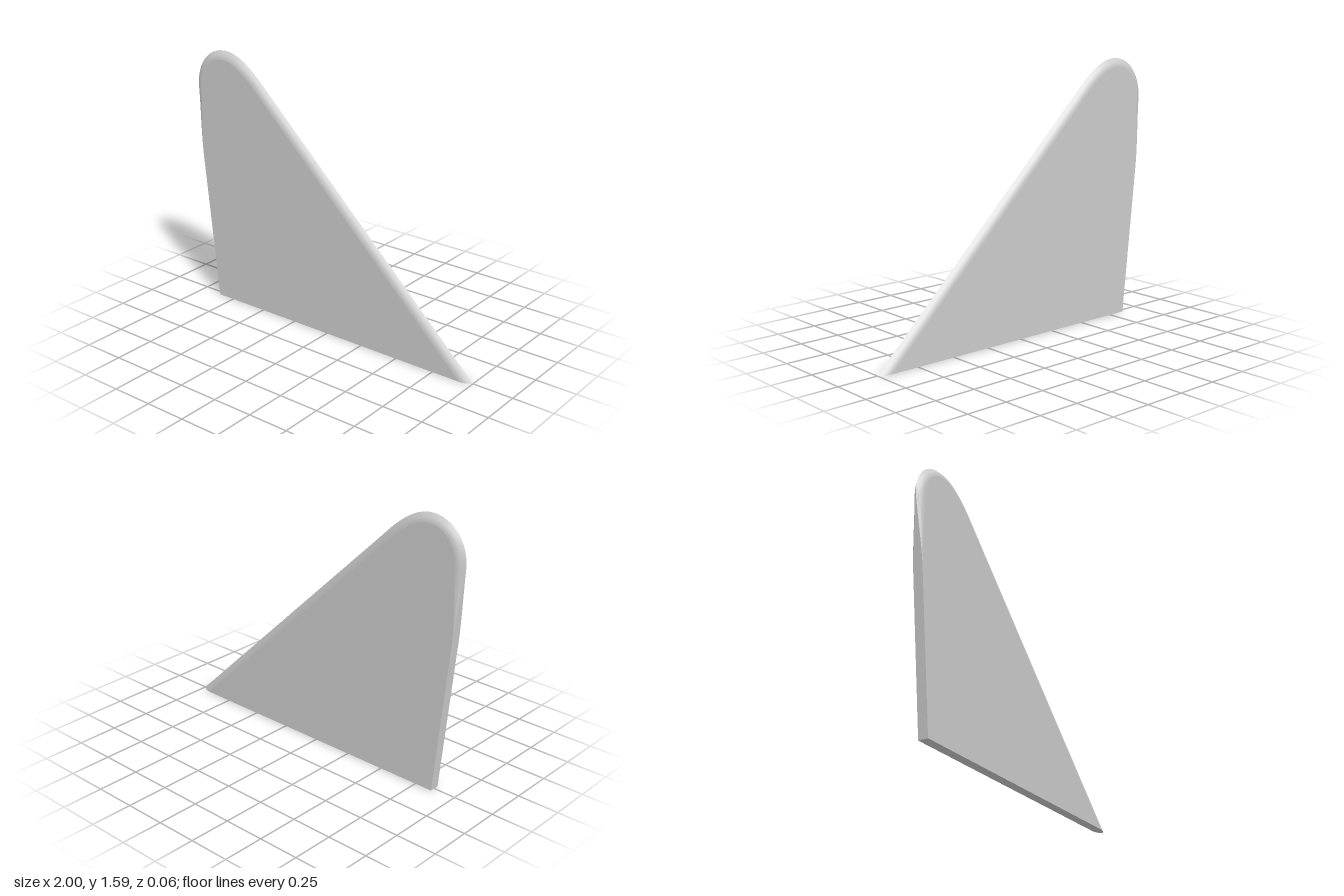
import * as THREE from 'three';
import { toCreasedNormals } from 'three/addons/utils/BufferGeometryUtils.js';

const T = 0.03;      // half thickness
const BEVEL = 0.05;  // width of the sharpened edge
// edge profile, from face to ridge: [share of inset, share of thickness]
const PROFILE = [[1, 1], [0.78, 0.95], [0.55, 0.8], [0.3, 0.52], [0, 0]];

// Outline from the rear foot, up the trailing edge, over the tip and down the leading edge
function outline() {
  const v = (x, y) => new THREE.Vector2(x, y);
  const trailing = new THREE.LineCurve(v(-0.86, 0), v(-1, 1.34));
  const tipRear = new THREE.CubicBezierCurve(v(-1, 1.34), v(-1.01, 1.48), v(-0.91, 1.59), v(-0.78, 1.59));
  const tipFront = new THREE.CubicBezierCurve(v(-0.78, 1.59), v(-0.66, 1.59), v(-0.55, 1.49), v(-0.45, 1.39));
  const leading = new THREE.LineCurve(v(-0.45, 1.39), v(1, 0));
  const rows = [];
  const add = (curve, ts) => ts.forEach((t) => rows.push({ p: curve.getPoint(t), t: curve.getTangent(t) }));
  const steps = (n) => Array.from({ length: n }, (_, i) => i / n);
  add(trailing, [0, ...steps(10).map((t) => 0.65 + 0.35 * t)]);
  add(tipRear, steps(20));
  add(tipFront, steps(16));
  add(leading, [0, 1]);
  return rows;
}

// One cross-section of the edge, front face to back face
function section({ p, t }) {
  const onRear = p.x < -0.78;
  const sharp = onRear ? THREE.MathUtils.smoothstep(p.y, 0.9, 1.42) : 1;
  const inward = new THREE.Vector2(t.y, -t.x);
  // at the foot the inset slides along the ground
  if (p.y < 1e-6) inward.set(1 / inward.x, 0);
  const flat = T * (1 - sharp);
  const half = PROFILE.map(([d, z]) => new THREE.Vector3(
    p.x + inward.x * d * BEVEL * sharp,
    p.y + inward.y * d * BEVEL * sharp,
    flat + (T - flat) * z));
  const mirrored = half.map((q) => new THREE.Vector3(q.x, q.y, -q.z)).reverse();
  return [...half, ...mirrored];
}

function edgeGeometry(rows) {
  const pos = [];
  const tri = (a, b, c) => {
    const area = b.clone().sub(a).cross(c.clone().sub(a)).length();
    if (area > 1e-10) for (const q of [a, b, c]) pos.push(q.x, q.y, q.z);
  };
  for (let i = 0; i < rows.length - 1; i++) {
    for (let j = 0; j < rows[i].length - 1; j++) {
      const a = rows[i][j], b = rows[i + 1][j], c = rows[i + 1][j + 1], d = rows[i][j + 1];
      tri(a, b, c);
      tri(a, c, d);
    }
  }
  const g = new THREE.BufferGeometry();
  g.setAttribute('position', new THREE.Float32BufferAttribute(pos, 3));
  return toCreasedNormals(g, 0.6);
}

export function createModel() {
  const group = new THREE.Group();
  group.name = 'fin';
  const material = new THREE.MeshStandardMaterial({ color: 0xcccccc });
  const add = (name, geometry) => {
    const mesh = new THREE.Mesh(geometry, material);
    mesh.name = name;
    group.add(mesh);
    return mesh;
  };
  const rows = outline().map(section);

  // Sharpened rim, blunt along the lower trailing edge
  add('edge', edgeGeometry(rows));

  // Flat sides
  const side = (s) => new THREE.ShapeGeometry(
    new THREE.Shape(rows.map((r) => new THREE.Vector2(r[0].x * s, r[0].y))));
  add('frontFace', side(1).translate(0, 0, T));
  add('backFace', side(-1).translate(0, 0, T).rotateY(Math.PI));

  // Flat foot: blunt at the rear, pointed at the front
  const tip = rows[rows.length - 1].filter((_, j) => j !== PROFILE.length);
  const foot = [new THREE.Vector2(-0.86, -T), new THREE.Vector2(-0.86, T),
    ...tip.map((q) => new THREE.Vector2(q.x, q.z))];
  add('base', new THREE.ShapeGeometry(new THREE.Shape(foot)).rotateX(Math.PI / 2));

  return group;
}
